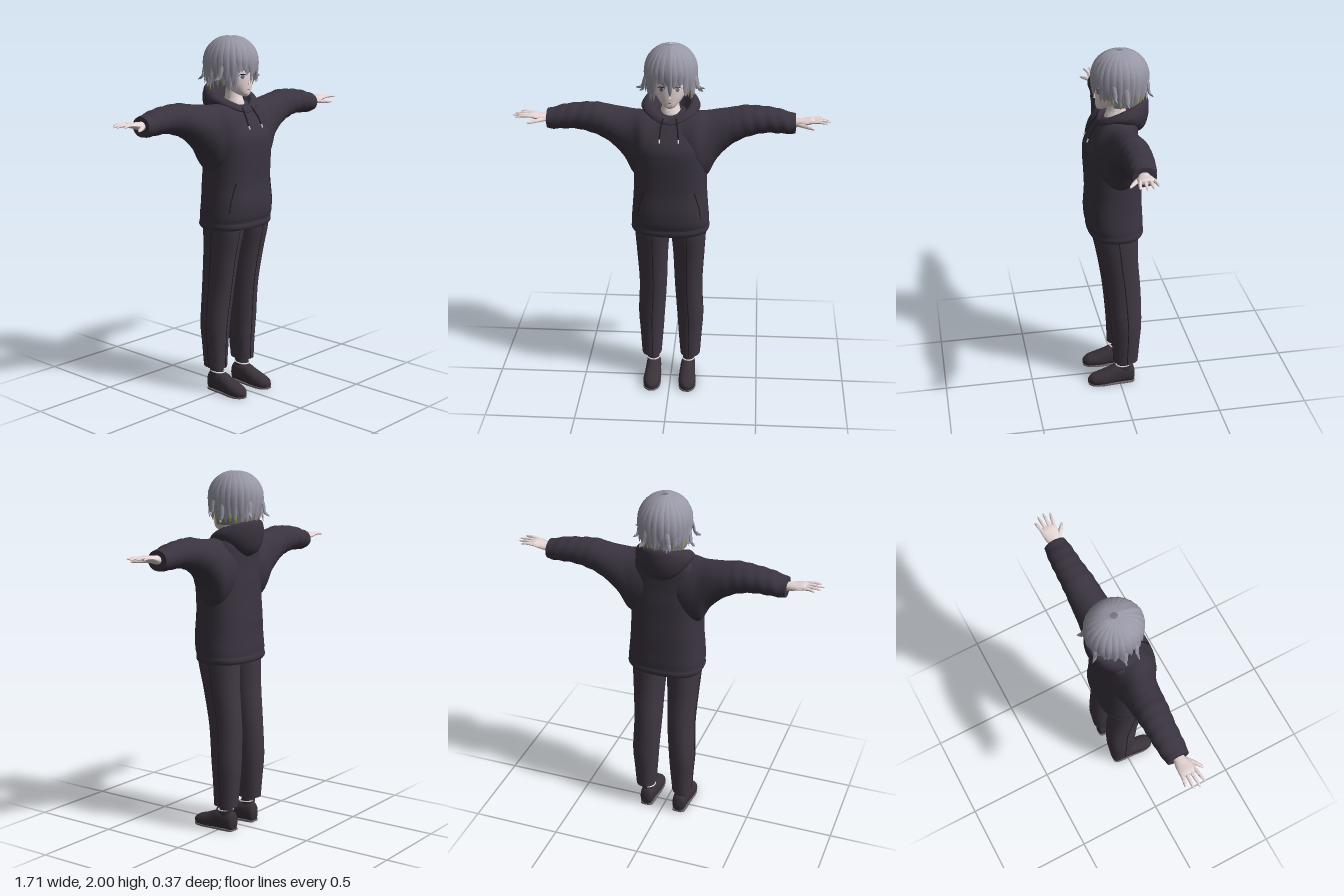
import * as THREE from 'three';
import { mergeVertices, mergeGeometries, toCreasedNormals } from 'three/addons/utils/BufferGeometryUtils.js';

const mat = (name, color, side = THREE.FrontSide) => {
  const m = new THREE.MeshStandardMaterial({ color, side });
  m.name = name;
  return m;
};
const V = (x, y, z) => new THREE.Vector3(x, y, z);
const lerp = THREE.MathUtils.lerp;

// Smooth interpolation through rows of numbers, t in 0..1
function spline(keys, t) {
  const f = t * (keys.length - 1), i = Math.min(Math.floor(f), keys.length - 2), w = f - i;
  const k = n => keys[Math.max(0, Math.min(keys.length - 1, n))];
  return keys[i].map((_, c) => {
    const a = k(i - 1)[c], b = k(i)[c], d = k(i + 1)[c], e = k(i + 2)[c];
    return b + 0.5 * w * (d - a + w * (2 * a - 5 * b + 4 * d - e + w * (3 * (b - d) + e - a)));
  });
}

// Surface from a function of u (around) and v (along)
function grid(nu, nv, fn) {
  const pos = [], index = [];
  for (let j = 0; j <= nv; j++) for (let i = 0; i <= nu; i++) pos.push(...fn((i % nu) / nu, j / nv, j));
  for (let j = 0; j < nv; j++) for (let i = 0; i < nu; i++) {
    const a = j * (nu + 1) + i, c = a + nu + 1;
    index.push(a, c, a + 1, a + 1, c, c + 1);
  }
  const g = new THREE.BufferGeometry();
  g.setAttribute('position', new THREE.Float32BufferAttribute(pos, 3));
  g.setIndex(index);
  return toCreasedNormals(mergeVertices(g, 1e-5), 0.9);
}

// Capped loft; rows are [along, centreU, centreV, radiusU, radiusV]
function loft(keys, { axis = 'y', segs = 32, steps = 5, power = 2, ripple = () => 1, floor = -1 } = {}) {
  const n = (keys.length - 1) * steps;
  return grid(segs, n + 2, (u, _, j) => {
    const [t, cu, cv, ru, rv] = spline(keys, Math.max(0, Math.min(n, j - 1)) / n);
    const r = j === 0 || j === n + 2 ? 0 : ripple(t, u);
    const se = x => Math.sign(x) * Math.abs(x) ** (2 / power);
    const a = u * Math.PI * 2, p = cu + r * ru * se(Math.cos(a)), q = cv + r * rv * se(Math.sin(a));
    const [x, y, z] = axis === 'y' ? [p, t, q] : axis === 'x' ? [t, q, p] : [q, p, t];
    return [x, Math.max(floor, y), z];
  });
}

// Tapered strand along points, flattened against the direction given by normal
function strand(points, width, thick, normal, profile, segs = 6, steps = 12) {
  const curve = new THREE.CatmullRomCurve3(points);
  return grid(segs, steps, (u, t) => {
    const p = curve.getPoint(t), T = curve.getTangent(t);
    const B = T.clone().cross(normal(p)).normalize(), N = B.clone().cross(T);
    const a = u * Math.PI * 2, w = profile(t);
    return p.addScaledVector(B, Math.cos(a) * width * w).addScaledVector(N, Math.sin(a) * thick * w).toArray();
  });
}

function mirror(geo) {
  const g = geo.index ? geo.toNonIndexed() : geo.clone();
  g.scale(-1, 1, 1);
  for (const { array } of Object.values(g.attributes)) {
    const s = array.length / g.attributes.position.count;
    for (let i = 0; i < array.length; i += 3 * s) for (let k = 0; k < s; k++) {
      [array[i + s + k], array[i + 2 * s + k]] = [array[i + 2 * s + k], array[i + s + k]];
    }
  }
  return g;
}

// Front depth of a lofted body at x, y
function frontZ(keys, power, x, y) {
  let i = 0;
  while (i < keys.length - 2 && keys[i + 1][0] < y) i++;
  const w = (y - keys[i][0]) / (keys[i + 1][0] - keys[i][0]);
  const [, cx, cz, rx, rz] = keys[i].map((v, c) => lerp(v, keys[i + 1][c], w));
  return cz + rz * Math.max(0, 1 - Math.abs((x - cx) / rx) ** power) ** (1 / power);
}
const tube = (pts, r) => new THREE.TubeGeometry(new THREE.CatmullRomCurve3(pts), 24, r, 6);

const TORSO = [[0.958, 0, 0.012, 0.205, 0.147], [0.975, 0, 0.012, 0.215, 0.155], [1.0, 0, 0.014, 0.213, 0.152],
  [1.03, 0, 0.018, 0.213, 0.157], [1.1, 0, 0.022, 0.207, 0.157], [1.2, 0, 0.02, 0.2, 0.152], [1.3, 0, 0.025, 0.198, 0.15],
  [1.4, 0, 0.03, 0.198, 0.15], [1.47, 0, 0.03, 0.197, 0.143], [1.55, 0, 0.01, 0.19, 0.12], [1.61, 0, -0.01, 0.165, 0.1],
  [1.635, 0, -0.03, 0.13, 0.07], [1.642, 0, -0.04, 0.08, 0.04]];
const HEAD = [[1.675, 0, 0.085, 0.012, 0.014], [1.685, 0, 0.075, 0.032, 0.034], [1.71, 0, 0.05, 0.058, 0.062],
  [1.75, 0, 0.025, 0.083, 0.088], [1.8, 0, 0.005, 0.097, 0.107], [1.86, 0, -0.01, 0.102, 0.115],
  [1.93, 0, -0.02, 0.085, 0.095], [1.965, 0, -0.02, 0.04, 0.045]];
const LEG = [[0.145, 0.111, -0.035, 0.056, 0.07], [0.28, 0.11, -0.038, 0.066, 0.078], [0.4, 0.11, -0.038, 0.074, 0.086],
  [0.6, 0.1, -0.025, 0.077, 0.095], [0.8, 0.101, 0, 0.086, 0.104], [0.95, 0.1, 0.018, 0.096, 0.12], [1.03, 0.1, 0.015, 0.096, 0.12]];
const SLEEVE = [[0.06, 0.02, 1.47, 0.12, 0.165], [0.14, 0.02, 1.455, 0.13, 0.185], [0.2, 0.005, 1.46, 0.112, 0.18],
  [0.25, -0.005, 1.507, 0.1, 0.138], [0.32, -0.012, 1.548, 0.093, 0.105], [0.4, -0.015, 1.578, 0.086, 0.088],
  [0.5, -0.02, 1.588, 0.077, 0.072], [0.58, -0.02, 1.582, 0.072, 0.066], [0.64, -0.018, 1.572, 0.066, 0.058],
  [0.668, -0.018, 1.57, 0.06, 0.053]];
const SHOE = [[-0.088, 0.045, 0.098, 0.03, 0.02], [-0.075, 0.05, 0.1, 0.055, 0.036], [-0.03, 0.055, 0.1, 0.06, 0.042],
  [0.02, 0.05, 0.1, 0.06, 0.044], [0.06, 0.04, 0.1, 0.052, 0.047], [0.11, 0.03, 0.102, 0.042, 0.049],
  [0.155, 0.025, 0.102, 0.032, 0.04], [0.182, 0.022, 0.102, 0.013, 0.015]];

export function createModel() {
  const root = new THREE.Group();
  const M = {
    hoodie: mat('hoodie charcoal', 0x3a3440), trousers: mat('trouser charcoal', 0x403844), shoe: mat('shoe dark', 0x393239),
    sole: mat('sole grey', 0x6e676c), skin: mat('skin', 0xead9d9), hair: mat('hair grey', 0x9a99a7),
    shade: mat('hair shade', 0x777583, THREE.DoubleSide), tips: mat('hair tip green', 0xa3ad58),
    white: mat('off white', 0xe6e4e6), line: mat('seam dark', 0x211d25),
  };
  const add = (name, geo, m) => {
    const mesh = new THREE.Mesh(geo, m);
    mesh.name = name;
    root.add(mesh);
  };
  const pair = (name, geo, m) => { add(name + 'Left', geo, m); add(name + 'Right', mirror(geo), m); };

  // Hoodie body and sleeves with soft folds
  add('hoodieBody', loft(TORSO, { power: 2.5, segs: 48 }), M.hoodie);
  pair('sleeve', loft(SLEEVE, { axis: 'x', steps: 8, ripple: (t, u) =>
    1 + 0.022 * THREE.MathUtils.smoothstep(t, 0.25, 0.45) * Math.sin(t * 95 + 2 * Math.sin(u * 6.28)) }), M.hoodie);

  // Hood: low V at the front, hanging bag at the back
  add('hood', grid(48, 30, (u, v) => {
    const a = -u * Math.PI * 2, s = Math.sin(a), c = Math.cos(a), k = (1 - c) / 2;
    const rimY = lerp(1.615, 1.735, k ** 0.6), baseY = 1.585 - 0.055 * k + 0.07 * s * s;
    const z = (front, back) => c > 0 ? -0.02 + c * (front + 0.02) : -0.02 + c * (-0.02 - back);
    return spline([
      [0.12 * s, baseY - 0.005, z(0.085, -0.08)],
      [0.15 * s, lerp(baseY, rimY, 0.15), z(0.112, -0.145)],
      [0.158 * s, lerp(baseY, rimY, 0.55), z(0.108, -0.172)],
      [0.14 * s, lerp(baseY, rimY, 0.93), z(0.097, -0.17)],
      [0.115 * s, rimY, z(0.085, -0.15)],
      [0.098 * s, rimY - 0.02, z(0.07, -0.13)],
      [0.055 * s, 1.6, z(0.03, -0.06)]], v);
  }), M.hoodie);

  // Drawstrings and pocket openings
  pair('drawstring', tube([V(0.035, 1.62, 0.095), V(0.045, 1.57, 0.133), V(0.05, 1.525, 0.158)], 0.004), M.line);
  const tip = new THREE.CylinderGeometry(0.004, 0.004, 0.02, 8);
  tip.rotateX(-0.4);
  tip.translate(0.05, 1.516, 0.163);
  pair('drawstringTip', tip, M.white);
  const onTorso = (x, y) => V(x, y, frontZ(TORSO, 2.5, x, y));
  pair('pocketSeam', tube([onTorso(0.135, 1.22), onTorso(0.15, 1.17), onTorso(0.165, 1.11), onTorso(0.17, 1.06)], 0.003), M.line);

  // Trousers with front crease and outer seam
  pair('trouserLeg', loft(LEG, { power: 2.2 }), M.trousers);
  const rows = LEG.slice(0, -1);
  pair('trouserCrease', tube(rows.map(([y, cx, cz, , rz]) => V(cx - 0.006, y, cz + rz - 0.0005)), 0.0025), M.line);
  pair('trouserSeam', tube(rows.map(([y, cx, cz, rx]) => V(cx + rx - 0.001, y, cz)), 0.003), M.line);

  // Socks, shoes, soles
  pair('sock', loft([[0.07, 0.102, -0.03, 0.036, 0.042], [0.17, 0.108, -0.035, 0.034, 0.04]]), M.shoe);
  pair('shoe', loft(SHOE, { axis: 'z', power: 2.3, floor: 0.008 }), M.shoe);
  const outline = [...Array(25)].map((_, i) => spline(SHOE, i / 24));
  const soleShape = new THREE.Shape([...outline.map(r => new THREE.Vector2(r[2] + r[4], -r[0])),
    ...outline.reverse().map(r => new THREE.Vector2(r[2] - r[4], -r[0]))]);
  const sole = new THREE.ExtrudeGeometry(soleShape, { depth: 0.009, bevelEnabled: false });
  sole.rotateX(-Math.PI / 2);
  pair('sole', sole, M.sole);
  const trim = new THREE.TorusGeometry(0.038, 0.004, 6, 24);
  trim.rotateX(Math.PI / 2 + 0.1);
  trim.scale(1, 1, 1.15);
  trim.translate(0.102, 0.116, -0.026);
  pair('shoeTrim', trim, M.white);

  // Hands: palm, four fingers, thumb
  const up = () => V(0, 1, 0), finger = t => Math.sqrt(Math.max(0, 1 - t ** 5)) * (1 - 0.25 * t);
  const hand = [loft([[0.62, -0.015, 1.57, 0.03, 0.026], [0.67, -0.015, 1.575, 0.031, 0.024], [0.71, -0.012, 1.582, 0.042, 0.018],
    [0.75, -0.012, 1.59, 0.045, 0.014], [0.77, -0.012, 1.591, 0.04, 0.009]], { axis: 'x', segs: 16 })];
  [[0.022, 0.04, 0.838], [0, 0.005, 0.857], [-0.023, -0.028, 0.848], [-0.045, -0.06, 0.82]].forEach(([z0, z1, x]) =>
    hand.push(strand([V(0.74, 1.59, z0), V(0.79, 1.595, lerp(z0, z1, 0.5)), V(x, 1.59, z1)], 0.0105, 0.009, up, finger, 8)));
  hand.push(strand([V(0.68, 1.572, 0.005), V(0.72, 1.572, 0.04), V(0.768, 1.568, 0.075)], 0.014, 0.012, up, finger, 8));
  pair('hand', mergeGeometries(hand), M.skin);

  // Neck, head, nose
  add('neck', loft([[1.58, 0, 0, 0.075, 0.07], [1.635, 0, 0, 0.054, 0.062], [1.68, 0, 0, 0.045, 0.045], [1.74, 0, 0, 0.045, 0.045]]), M.skin);
  add('head', loft(HEAD), M.skin);
  const nose = new THREE.ConeGeometry(0.009, 0.03, 8);
  nose.translate(0, 1.752, frontZ(HEAD, 2, 0, 1.745) + 0.001);
  add('nose', nose, M.skin);

  // Eyes, brows and mouth laid on the face
  const decal = (pts, lift) => {
    const g = new THREE.ShapeGeometry(new THREE.Shape(pts.map(p => new THREE.Vector2(...p))));
    const p = g.attributes.position;
    for (let i = 0; i < p.count; i++) p.setZ(i, frontZ(HEAD, 2, p.getX(i), p.getY(i)) + lift);
    g.computeVertexNormals();
    return g;
  };
  const oval = (x, y, rx, ry) => [...Array(14)].map((_, i) => [x + rx * Math.cos(i * Math.PI / 7), y + ry * Math.sin(i * Math.PI / 7)]);
  pair('eyeWhite', decal(oval(0.043, 1.782, 0.021, 0.012), 0.003), M.white);
  pair('iris', decal(oval(0.042, 1.782, 0.01, 0.0115), 0.005), M.shade);
  pair('lash', decal([[0.019, 1.788], [0.03, 1.793], [0.05, 1.794], [0.068, 1.784], [0.05, 1.799], [0.03, 1.798]], 0.006), M.line);
  add('mouth', decal([[-0.012, 1.712], [0, 1.71], [0.012, 1.712], [0, 1.713]], 0.003), M.line);

  // Hair: cap and back shell beneath layered locks
  const cap = new THREE.SphereGeometry(1, 32, 16, 0, Math.PI * 2, 0, Math.PI * 0.47);
  cap.scale(0.13, 0.138, 0.142);
  cap.translate(0, 1.85, -0.02);
  add('hairCap', cap, M.shade);
  const shell = new THREE.CylinderGeometry(0.128, 0.115, 0.15, 32, 1, true, 1.15, Math.PI * 2 - 2.3);
  shell.scale(1, 1, 1.1);
  shell.translate(0, 1.785, -0.02);
  add('hairBackShell', shell, M.shade);

  let seed = 7;
  const rnd = () => (seed = (seed * 16807) % 2147483647) / 2147483647;
  const outward = p => p.clone().sub(V(0, 1.84, -0.02));
  const taper = t => Math.max(0, Math.sin(Math.PI * (0.15 + 0.85 * t))) ** 0.6;
  const lock = (a, tipY, scale, flare, width) => {
    const at = (h, y) => V(0.135 * h * scale * Math.sin(a), y, -0.02 + 0.148 * h * scale * Math.cos(a));
    const pts = [0.12, 0.5, 0.95, 1.4].map(th => at(Math.sin(th), 1.85 + 0.14 * scale * Math.cos(th)));
    pts.push(at(0.99, lerp(1.86, tipY, 0.5)), at(0.93 + flare, tipY));
    return strand(pts, width, 0.011, outward, taper);
  };
  const locks = [], green = [];
  for (let i = 0; i < 52; i++) {
    const a = (i + 0.5) / 52 * Math.PI * 2, front = Math.abs(Math.atan2(Math.sin(a), Math.cos(a)));
    const y = front < 0.6 ? 1.785 + 0.03 * rnd() : front < 1.5 ? 1.705 + 0.05 * rnd() : 1.72 + 0.035 * rnd();
    locks.push(lock(a, y, i % 2 ? 1 : 0.975, (rnd() - 0.35) * 0.2, 0.022 + 0.008 * rnd()));
    if (front > 0.75 && i % 2) green.push(lock(a + 0.05, y - 0.02, 0.93, 0, 0.016));
  }
  // Centre fringe lock and outward flicks
  locks.push(lock(0.03, 1.745, 1.01, 0.02, 0.02));
  const flicks = [
    [V(0.1, 1.9, 0.04), V(0.135, 1.82, 0.035), V(0.15, 1.775, 0.03), V(0.185, 1.768, 0.025)],
    [V(0.12, 1.88, -0.03), V(0.14, 1.8, -0.03), V(0.15, 1.745, -0.035), V(0.172, 1.73, -0.04)],
    [V(0.05, 1.88, -0.14), V(0.06, 1.82, -0.16), V(0.07, 1.77, -0.165), V(0.085, 1.75, -0.186)],
  ].map(p => strand(p, 0.014, 0.008, outward, taper));
  add('hairLocks', mergeGeometries(locks), M.hair);
  pair('hairFlicks', mergeGeometries(flicks), M.hair);
  add('hairUnderLocks', mergeGeometries(green), M.tips);
  return root;
}
